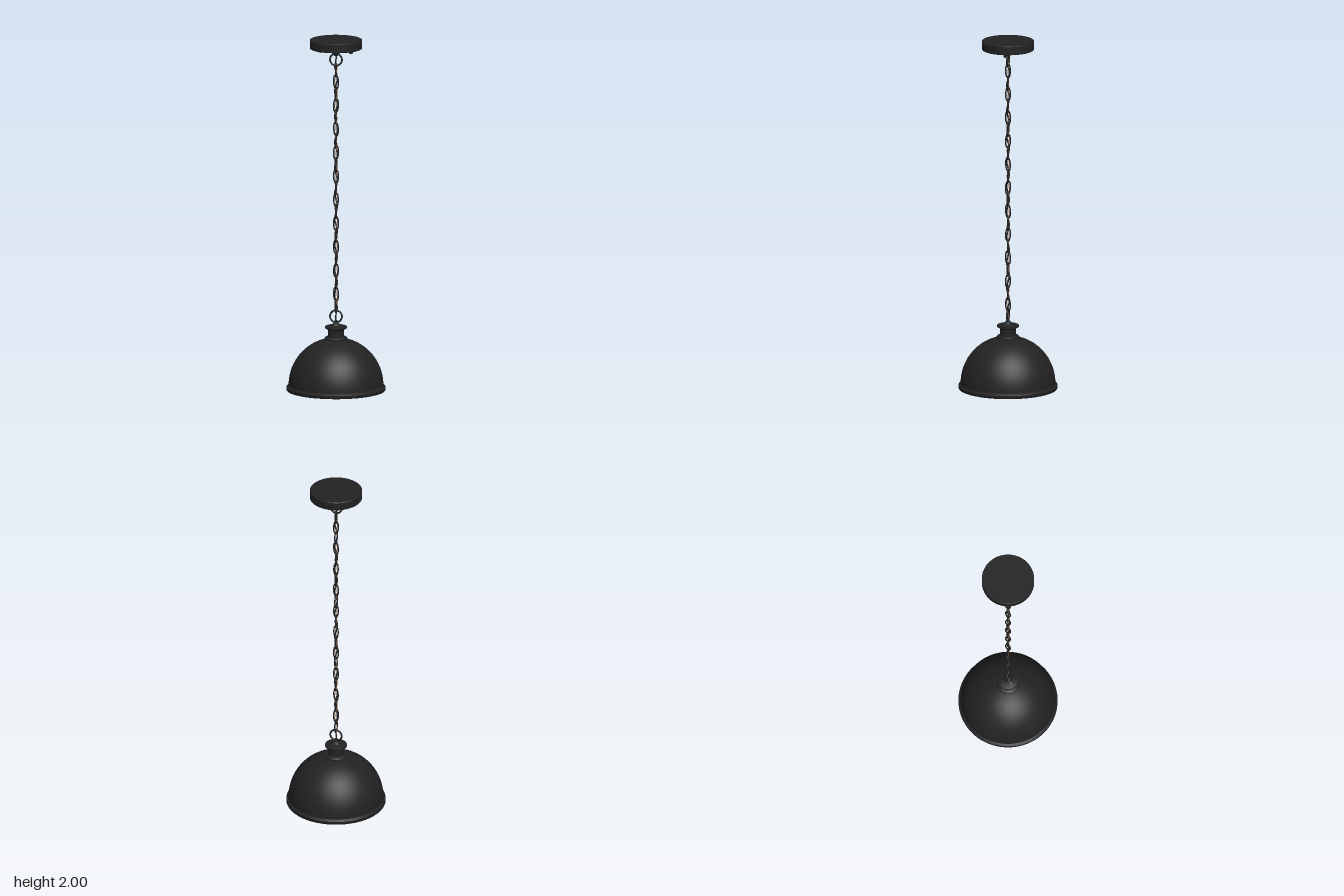
import * as THREE from 'three';
import { toCreasedNormals } from 'three/addons/utils/BufferGeometryUtils.js';

export function createModel() {
  const group = new THREE.Group();
  group.name = 'pendantLamp';
  const mat = (name, color) => {
    const m = new THREE.MeshStandardMaterial({ color });
    m.name = name;
    return m;
  };
  const black = mat('matteBlack', 0x222222);
  const white = mat('innerWhite', 0xe8e8e8);
  const copper = mat('copperWire', 0xb0703a);

  const add = (name, geometry, material, x = 0, y = 0, z = 0) => {
    const mesh = new THREE.Mesh(geometry, material);
    mesh.name = name;
    mesh.position.set(x, y, z);
    group.add(mesh);
    return mesh;
  };
  // Profile points [radius, y] turned about the y axis
  const lathe = (points, segments = 64) => toCreasedNormals(
    new THREE.LatheGeometry(points.map(([r, y]) => new THREE.Vector2(r, y)), segments), 0.6);
  // Quarter-round dome profile from the base up to the neck
  const dome = (r, h, y0, rTop, n = 24) => {
    const end = Math.acos(rTop / r);
    return Array.from({ length: n + 1 }, (_, i) => {
      const a = end * i / n;
      return [r * Math.cos(a), y0 + h * Math.sin(a)];
    });
  };

  // Ceiling canopy with its two screws and hanging stem
  add('canopy', lathe([[0, 1.95], [0.144, 1.95], [0.147, 1.953], [0.147, 1.997], [0.144, 2], [0, 2]]), black);
  for (const side of [-1, 1]) {
    add('canopyScrew', new THREE.CylinderGeometry(0.011, 0.011, 0.028, 16), black, side * 0.085, 1.938, 0);
  }
  add('canopyStem', lathe([[0, 1.908], [0.01, 1.908], [0.012, 1.925], [0.019, 1.928], [0.019, 1.94], [0.025, 1.943], [0.025, 1.952]], 24), black);

  // Round loops at both ends of the chain
  const ring = new THREE.TorusGeometry(0.034, 0.005, 10, 40);
  add('topRing', ring, black, 0, 1.886, 0);
  add('bottomRing', ring, black, 0, 0.42, 0);

  // Chain of oval links, each turned a quarter from the last
  class LinkCurve extends THREE.Curve {
    getPoint(t, target = new THREE.Vector3()) {
      const a = t * Math.PI * 2;
      return target.set(0.0135 * Math.cos(a), 0.04 * Math.sin(a), 0);
    }
  }
  const link = new THREE.TubeGeometry(new LinkCurve(), 36, 0.004, 8, true);
  const count = 21;
  for (let i = 0; i < count; i++) {
    const mesh = add('chainLink', link, black, 0, 1.826 - i * (1.346 / (count - 1)), 0);
    mesh.rotation.set(0, (i % 2 ? 0 : Math.PI / 2) + 0.15 * Math.sin(i * 2.1), 0.06 * Math.sin(i * 1.7));
  }

  // Power cord and bare ground wire woven through the links
  const woven = (amplitude, phase) => {
    const points = [];
    for (let i = 0; i <= 80; i++) {
      const t = i / 80, a = t * Math.PI * 21 + phase;
      const r = amplitude * Math.min(1, t * 20, (1 - t) * 20);
      points.push(new THREE.Vector3(r * Math.cos(a), 1.92 - 1.53 * t, r * Math.sin(a)));
    }
    return new THREE.CatmullRomCurve3(points);
  };
  add('powerCord', new THREE.TubeGeometry(woven(0.007, 0), 240, 0.004, 8), black);
  add('groundWire', new THREE.TubeGeometry(woven(0.006, 2.6), 240, 0.0015, 6), copper);

  // Shade: black outer shell with a rolled rim, white lining
  add('shadeOuter', lathe([
    [0.262, 0], [0.276, 0], [0.278, 0.003], [0.278, 0.018], [0.271, 0.025],
    ...dome(0.266, 0.268, 0.028, 0.045),
  ], 96), black);
  add('shadeLining', lathe([
    ...dome(0.261, 0.261, 0.028, 0.012).reverse(), [0.262, 0.001],
  ], 96), white);

  // Neck above the shade
  add('neckCap', lathe([
    [0.064, 0.28], [0.064, 0.297], [0.058, 0.303], [0.046, 0.306], [0.046, 0.343], [0.052, 0.35],
    [0.061, 0.353], [0.061, 0.363], [0.055, 0.366], [0.024, 0.37], [0.018, 0.38], [0.01, 0.386], [0.009, 0.398], [0, 0.4],
  ], 48), black);

  // Lamp socket inside the shade
  add('socket', lathe([
    [0, 0.06], [0.036, 0.061], [0.046, 0.066], [0.049, 0.076], [0.047, 0.095],
    [0.04, 0.13], [0.038, 0.16], [0.038, 0.29],
  ], 40), black);

  return group;
}
